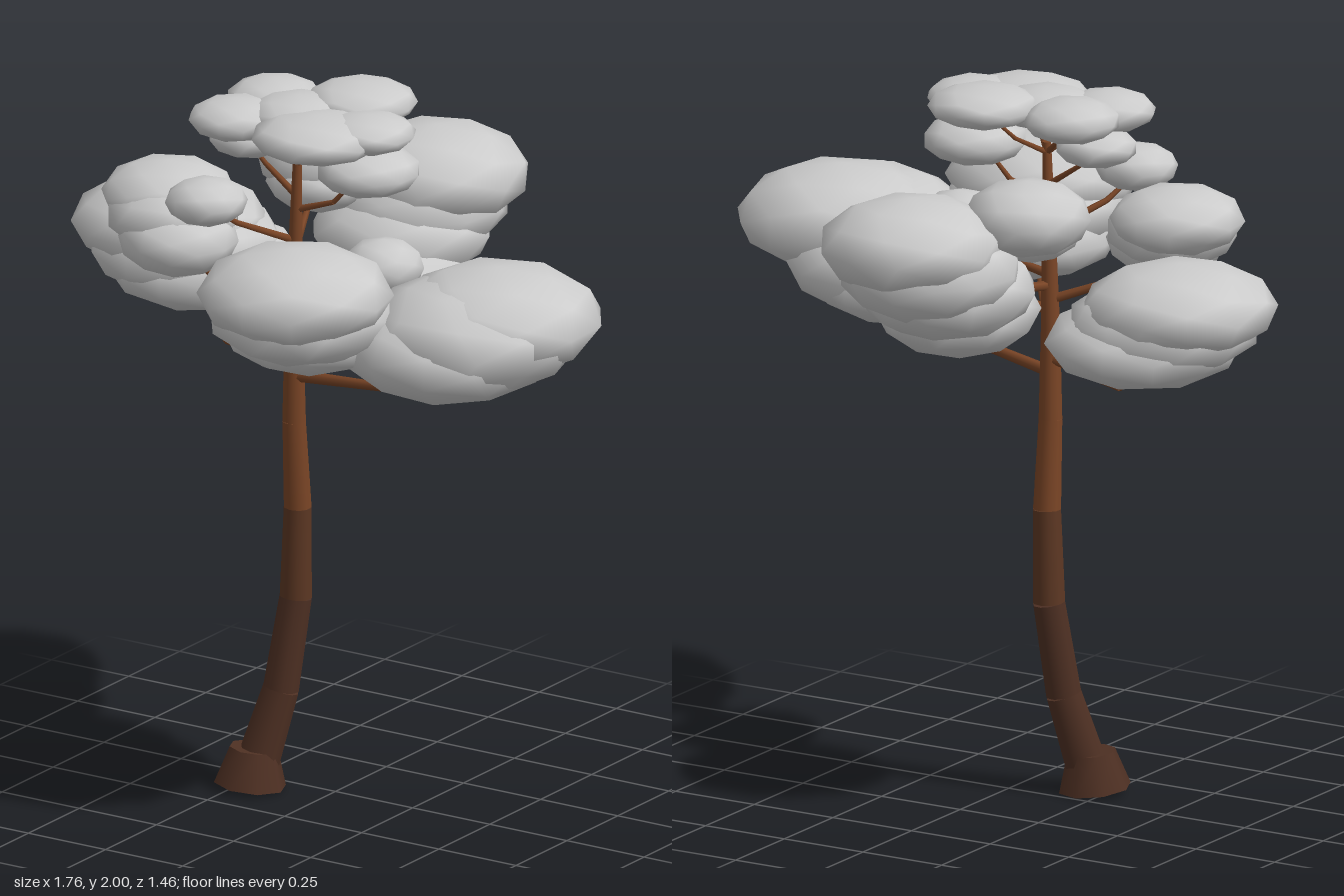
import * as THREE from 'three';

const V = (x, y, z) => new THREE.Vector3(x, y, z);
const darkBark = new THREE.MeshStandardMaterial({ color: 0x4e3023 });
const midBark = new THREE.MeshStandardMaterial({ color: 0x5c3723 });
const lightBark = new THREE.MeshStandardMaterial({ color: 0x7a4526 });
const leaf = new THREE.MeshStandardMaterial({ color: 0xcccccc });

// Tapered cylinder between two points
function limb(name, a, b, ra, rb, sides, material) {
  const dir = b.clone().sub(a);
  const mesh = new THREE.Mesh(new THREE.CylinderGeometry(rb, ra, dir.length(), sides), material);
  mesh.position.copy(a).add(b).multiplyScalar(0.5);
  mesh.quaternion.setFromUnitVectors(V(0, 1, 0), dir.normalize());
  mesh.name = name;
  return mesh;
}

// Trunk rings: x, y, z, radius
const rings = [
  [-0.2, 0.06, 0.085, 0.06], [-0.15, 0.28, 0.04, 0.05], [-0.122, 0.54, 0.01, 0.045],
  [-0.113, 0.8, 0.014, 0.039], [-0.114, 1.05, 0.03, 0.033], [-0.108, 1.3, 0.04, 0.027],
  [-0.1, 1.55, 0.045, 0.02], [-0.09, 1.82, 0.05, 0.012],
];

function trunkPoint(y) {
  let i = 0;
  while (i < rings.length - 2 && rings[i + 1][1] < y) i++;
  const a = rings[i], b = rings[i + 1];
  return V(...a.slice(0, 3)).lerp(V(...b.slice(0, 3)), (y - a[1]) / (b[1] - a[1]));
}

// Leaf pads by cluster: x, y, z, horizontal radius, vertical radius
const clusters = {
  crown: [
    [0.01, 1.945, -0.11, 0.15, 0.055], [0.02, 1.91, 0.12, 0.175, 0.06],
    [-0.23, 1.925, -0.05, 0.13, 0.058], [-0.245, 1.915, 0.12, 0.125, 0.055],
    [-0.1, 1.925, 0.03, 0.14, 0.055], [0.13, 1.92, 0.04, 0.13, 0.05],
    [-0.26, 1.835, 0.03, 0.11, 0.052], [0.12, 1.805, 0.02, 0.14, 0.065],
  ],
  innerPads: [[0.2, 1.56, 0.07, 0.11, 0.075], [-0.24, 1.72, 0.27, 0.11, 0.062]],
  leftUpper: [
    [-0.48, 1.65, 0.09, 0.18, 0.09], [-0.44, 1.61, 0.13, 0.18, 0.1],
    [-0.39, 1.56, 0.18, 0.16, 0.095],
  ],
  leftLower: [
    [-0.63, 1.48, -0.14, 0.26, 0.12], [-0.58, 1.425, -0.14, 0.26, 0.13],
    [-0.53, 1.375, -0.16, 0.265, 0.115],
  ],
  backLeft: [[-0.22, 1.7, -0.26, 0.17, 0.1], [-0.2, 1.65, -0.22, 0.14, 0.08]],
  back: [
    [0.01, 1.64, -0.48, 0.25, 0.13], [-0.02, 1.57, -0.44, 0.245, 0.14],
    [-0.03, 1.5, -0.37, 0.24, 0.13], [0.02, 1.4, -0.23, 0.22, 0.12],
  ],
  right: [
    [0.6, 1.5, 0.11, 0.28, 0.14], [0.56, 1.47, 0.17, 0.29, 0.15],
    [0.5, 1.43, 0.2, 0.29, 0.14], [0.4, 1.41, 0.05, 0.28, 0.135],
    [0.33, 1.39, 0.02, 0.26, 0.12],
  ],
  front: [
    [0.18, 1.59, 0.47, 0.26, 0.125], [0.17, 1.52, 0.42, 0.255, 0.125],
    [0.15, 1.455, 0.35, 0.235, 0.11],
  ],
};

// Branches: trunk height, elbow, tip
const branches = [
  [1.18, [0.27, 1.23, 0.1], [0.4, 1.32, 0.17]],
  [1.22, [-0.39, 1.2, -0.06], [-0.5, 1.3, -0.13]],
  [1.29, [0.03, 1.34, 0.22], [0.12, 1.42, 0.34]],
  [1.35, [0.12, 1.4, 0.02], [0.3, 1.42, 0.0]],
  [1.38, [-0.32, 1.46, 0.13], [-0.4, 1.54, 0.18]],
  [1.42, [-0.05, 1.46, -0.25], [-0.04, 1.54, -0.4]],
  [1.45, [0.08, 1.48, 0.06], [0.2, 1.54, 0.07]],
  [1.55, [-0.17, 1.6, -0.12], [-0.22, 1.67, -0.25]],
  [1.57, [-0.2, 1.64, 0.18], [-0.24, 1.7, 0.26]],
  [1.66, [0.02, 1.7, 0.04], [0.1, 1.79, 0.03]],
  [1.7, [-0.2, 1.77, 0.04], [-0.26, 1.82, 0.03]],
  [1.79, [-0.04, 1.84, -0.03], [0.01, 1.92, -0.1]],
  [1.79, [-0.05, 1.84, 0.08], [0, 1.89, 0.12]],
  [1.79, [-0.16, 1.85, 0.01], [-0.23, 1.9, -0.05]],
  [1.79, [-0.16, 1.85, 0.08], [-0.24, 1.9, 0.12]],
];

export function createModel() {
  const tree = new THREE.Group();
  tree.name = 'tree';

  // Flared foot and jointed trunk
  tree.add(limb('rootFlare', V(-0.214, 0.012, 0.096), V(-0.206, 0.115, 0.089), 0.1, 0.067, 8, darkBark));
  for (let i = 0; i < rings.length - 1; i++) {
    const [a, b] = [rings[i], rings[i + 1]];
    const material = i < 2 ? darkBark : i < 3 ? midBark : lightBark;
    tree.add(limb('trunkSegment', V(...a.slice(0, 3)), V(...b.slice(0, 3)), a[3], b[3], 10, material));
  }

  // Bent branches, thinner towards the crown
  for (const [y, elbow, tip] of branches) {
    const r = 0.014 - (y - 1.18) * 0.011;
    const branch = new THREE.Group();
    branch.name = 'branch';
    branch.add(limb('branchBase', trunkPoint(y), V(...elbow), r * 1.2, r * 0.85, 6, lightBark));
    branch.add(limb('branchTip', V(...elbow), V(...tip), r * 0.85, r * 0.5, 6, lightBark));
    tree.add(branch);
  }

  // Flattened low-poly leaf pads, each turned a little differently
  const pad = new THREE.IcosahedronGeometry(1.03, 1);
  let count = 0;
  for (const [name, pads] of Object.entries(clusters)) {
    const cluster = new THREE.Group();
    cluster.name = name + 'Foliage';
    for (const [x, y, z, r, h] of pads) {
      const mesh = new THREE.Mesh(pad, leaf);
      mesh.name = 'leafPad';
      mesh.position.set(x, y, z);
      mesh.scale.set(r, h, r);
      mesh.rotation.y = count++ * 1.3;
      cluster.add(mesh);
    }
    tree.add(cluster);
  }
  return tree;
}
